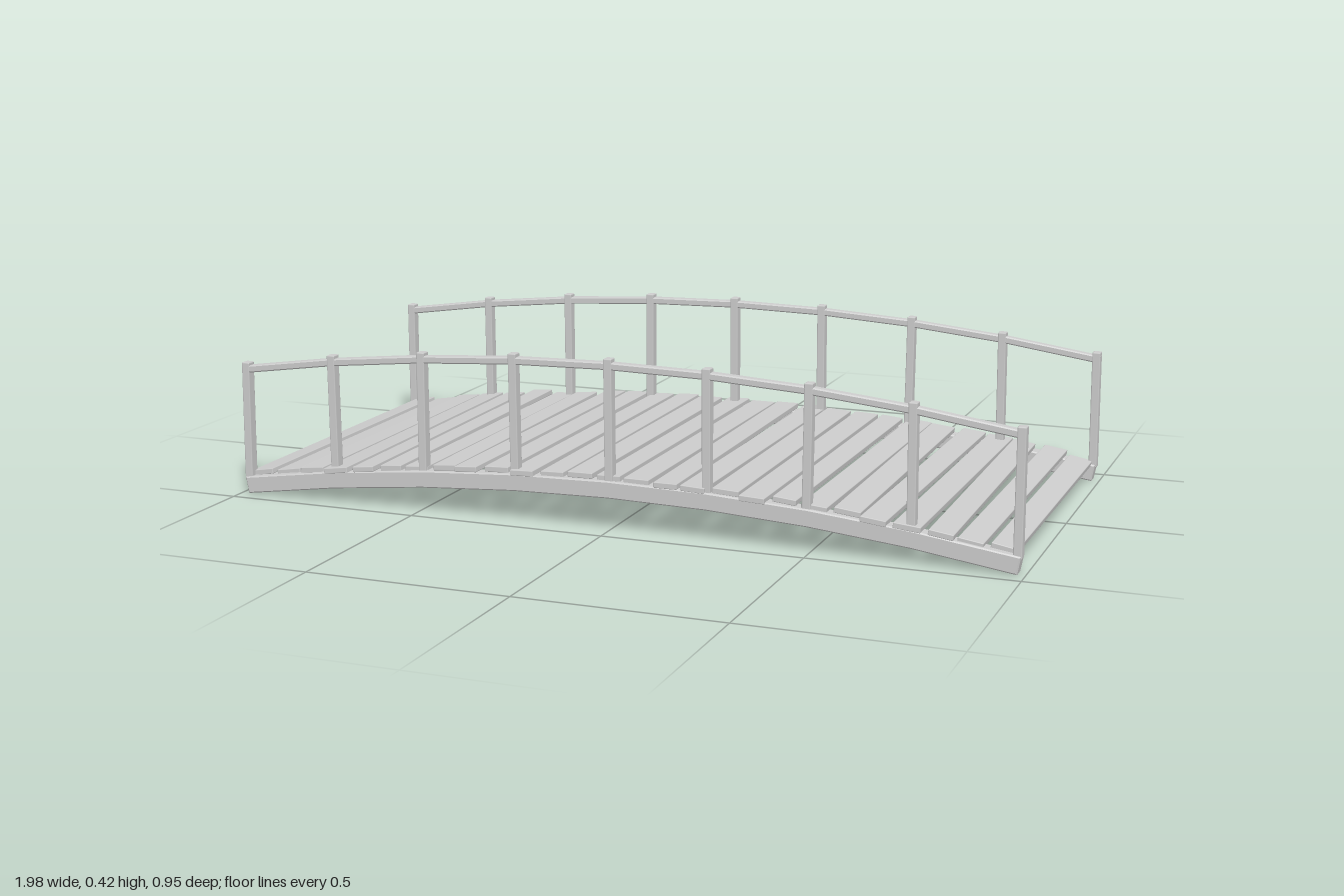
import * as THREE from 'three';
import { RoundedBoxGeometry } from 'three/addons/geometries/RoundedBoxGeometry.js';
import { toCreasedNormals } from 'three/addons/utils/BufferGeometryUtils.js';

const SPAN = 0.98, SIDE = 0.44, BAYS = 8;

// Height of the arch above its ends, and its slope
const arch = x => 0.08 * (1 - (x / SPAN) ** 2);
const slope = x => Math.atan(-0.16 * x / SPAN ** 2);

function seeded(seed) {
  return () => {
    seed = (seed * 16807) % 2147483647;
    return seed / 2147483647 * 2 - 1;
  };
}

// Arched bar with chamfered edges, cut into straight lengths per bay
function archedBar(half, bottom, height, width) {
  const bevel = 0.003;
  const low = [], high = [];
  for (let i = 0; i <= BAYS; i++) {
    const x = -half + 2 * half * i / BAYS;
    const lean = -Math.sin(slope(x)) * height * 0.5;
    const y = arch(x) + bottom;
    low.push(new THREE.Vector2(x - lean, y + bevel));
    high.push(new THREE.Vector2(x + lean, y + height - bevel));
  }
  const geometry = new THREE.ExtrudeGeometry(new THREE.Shape([...low, ...high.reverse()]), {
    depth: width - 2 * bevel, bevelThickness: bevel, bevelSize: bevel, bevelSegments: 1,
  });
  geometry.translate(0, 0, -width / 2 + bevel);
  return toCreasedNormals(geometry, 0.4);
}

export function createModel() {
  const model = new THREE.Group();
  model.name = 'footbridge';
  const wood = new THREE.MeshStandardMaterial({ color: 0xcccccc });
  wood.name = 'pale grey wood';

  function add(parent, name, geometry, x = 0, y = 0, z = 0) {
    const mesh = new THREE.Mesh(geometry, wood);
    mesh.name = name;
    mesh.position.set(x, y, z);
    parent.add(mesh);
    return mesh;
  }

  // Two sides, each with a beam, posts and a handrail
  const random = seeded(4127);
  const beam = archedBar(0.982, 0.003, 0.042, 0.04);
  const rail = archedBar(0.985, 0.311, 0.018, 0.024);
  for (const s of [1, -1]) {
    const side = new THREE.Group();
    side.name = s > 0 ? 'frontSide' : 'backSide';
    model.add(side);
    add(side, 'beam', beam, 0, 0, s * SIDE);
    add(side, 'handrail', rail, 0, 0, s * (SIDE + 0.002));
    for (let i = 0; i <= BAYS; i++) {
      const x = -SPAN + 2 * SPAN * i / BAYS;
      const base = arch(x) + 0.036, top = arch(x) + 0.338;
      const post = new RoundedBoxGeometry(0.021, top - base, 0.026, 1, 0.003);
      const mesh = add(side, 'post', post, x, (base + top) / 2, s * (SIDE + 0.002));
      mesh.rotation.z = random() * 0.012;
    }
  }

  // Uneven deck planks; each overhangs the beams by its own amount
  const backEnd = [
    44, 44, 44, 45, 45, 47, 46, 45, 46.5, 46, 46.5, 47, 45, 47.5,
    46, 46.5, 47, 46, 46, 46, 47, 45, 46.5, 47.5, 46, 47, 44];
  const frontEnd = [
    44, 44, 45, 47, 46.5, 45, 45, 45, 46.5, 45, 46.5, 45, 45, 45,
    45, 46.5, 46, 45, 46.5, 45, 45, 45, 46.5, 46, 46.5, 45, 44];
  const deck = new THREE.Group();
  deck.name = 'deck';
  model.add(deck);
  backEnd.forEach((back, i) => {
    const x = -0.948 + i * 0.0729;
    const zBack = -back / 100, zFront = frontEnd[i] / 100;
    const width = 0.061 + random() * 0.005;
    const geometry = new RoundedBoxGeometry(width, 0.014, zFront - zBack, 1, 0.002);
    const y = arch(x) + 0.05 + random() * 0.003;
    const plank = add(deck, 'plank', geometry, x, y, (zFront + zBack) / 2);
    plank.rotation.set(random() * 0.004, random() * 0.014, slope(x) + random() * 0.03);
  });
  return model;
}
